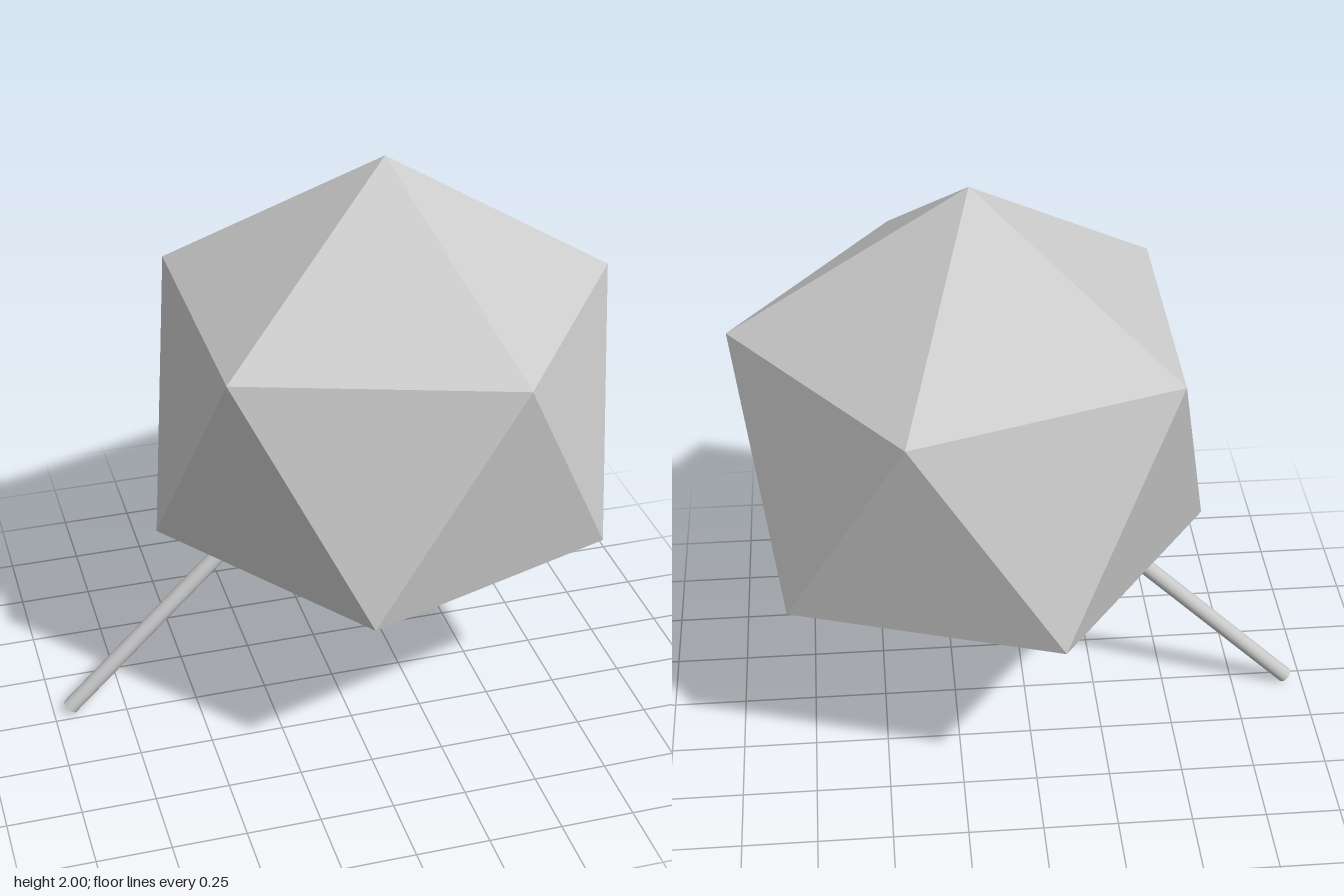
import * as THREE from 'three';

export function createModel() {
  const group = new THREE.Group();
  const material = new THREE.MeshStandardMaterial({ color: 0xcccccc, flatShading: true });

  // Faceted head: icosahedron turned so one corner points straight up
  const radius = 0.88;
  const centre = new THREE.Vector3(0.174, 1.12, 0);
  const headGeometry = new THREE.IcosahedronGeometry(radius, 0);
  headGeometry.rotateZ(-Math.atan(2 / (1 + Math.sqrt(5))));
  const head = new THREE.Mesh(headGeometry, material);
  head.name = 'head';
  head.position.copy(centre);
  group.add(head);

  // Thin stick running from the lower right into the head
  const start = new THREE.Vector3(-0.943, 0.02, -0.043);
  const end = new THREE.Vector3(0.16, 1.11, -0.043);
  const axis = end.clone().sub(start);
  const stick = new THREE.Mesh(
    new THREE.CylinderGeometry(0.028, 0.028, axis.length(), 12),
    new THREE.MeshStandardMaterial({ color: 0xcccccc })
  );
  stick.name = 'stick';
  stick.position.copy(start).add(end).multiplyScalar(0.5);
  stick.quaternion.setFromUnitVectors(new THREE.Vector3(0, 1, 0), axis.normalize());
  group.add(stick);

  return group;
}
